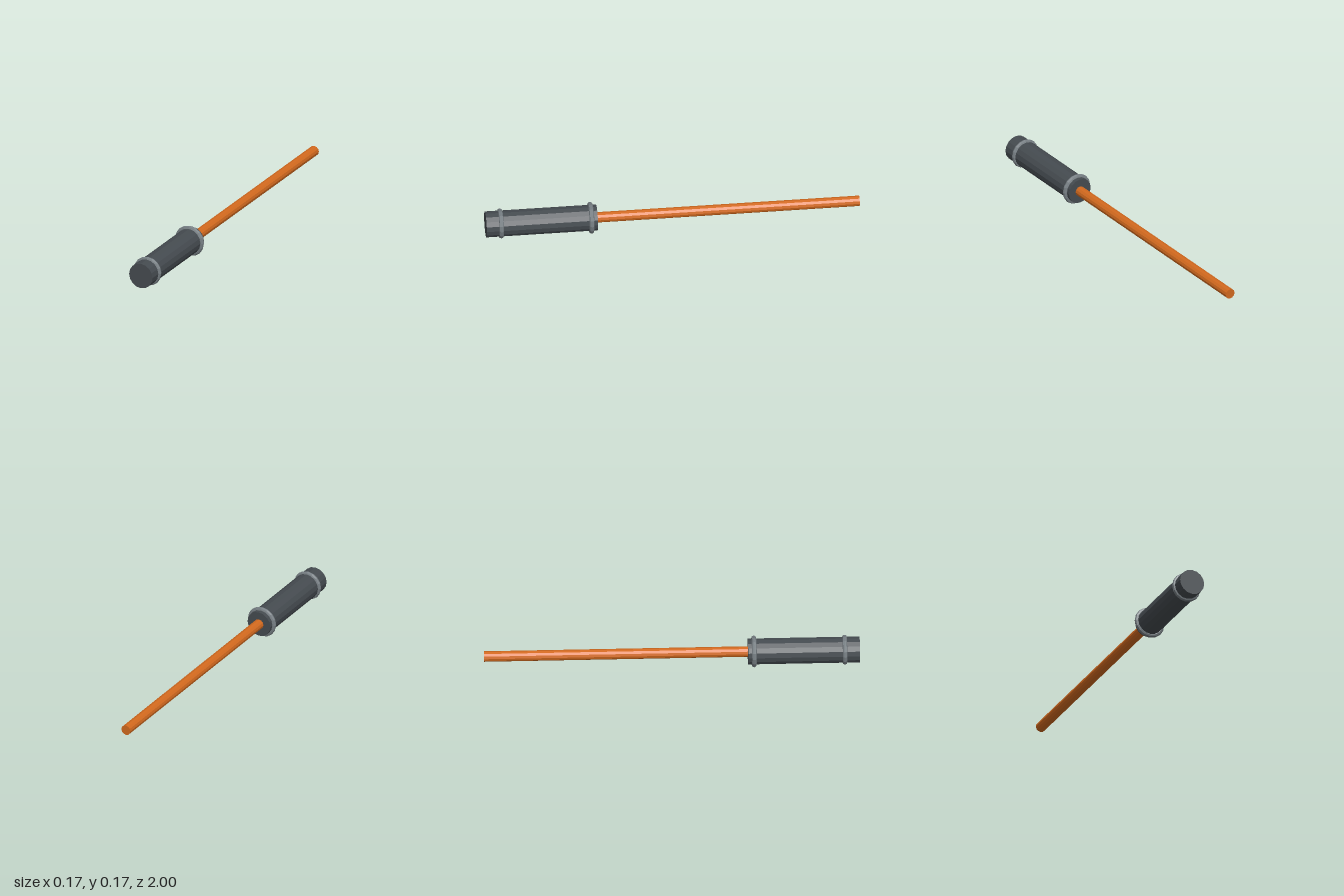
import * as THREE from 'three';

const AXIS_Y = 0.086; // height of the common long axis

function material(color) {
  return new THREE.MeshStandardMaterial({ color, flatShading: true });
}

// Cylinder lying along z between two z positions
function rod(name, radius, sides, z0, z1, mat) {
  const geometry = new THREE.CylinderGeometry(radius, radius, z1 - z0, sides);
  geometry.rotateX(Math.PI / 2);
  const mesh = new THREE.Mesh(geometry, mat);
  mesh.name = name;
  mesh.position.set(0, AXIS_Y, (z0 + z1) / 2);
  return mesh;
}

export function createModel() {
  const group = new THREE.Group();
  group.name = 'rodWithHandle';
  const dark = material(0x454b50);
  const grey = material(0x757d82);
  const orange = material(0xd2691e);

  // Grip and the long slim shaft
  group.add(rod('handle', 0.07, 16, 0.405, 1, dark));
  group.add(rod('shaft', 0.028, 12, -1, 0.405, orange));

  // Raised rings near both ends of the grip
  const rings = [
    ['frontRing', 0.92, 0.068],
    ['rearRing', 0.437, 0.073],
  ];
  for (const [name, z, radius] of rings) {
    const ring = new THREE.Mesh(new THREE.TorusGeometry(radius, 0.013, 8, 16), grey);
    ring.name = name;
    ring.position.set(0, AXIS_Y, z);
    group.add(ring);
  }
  return group;
}
